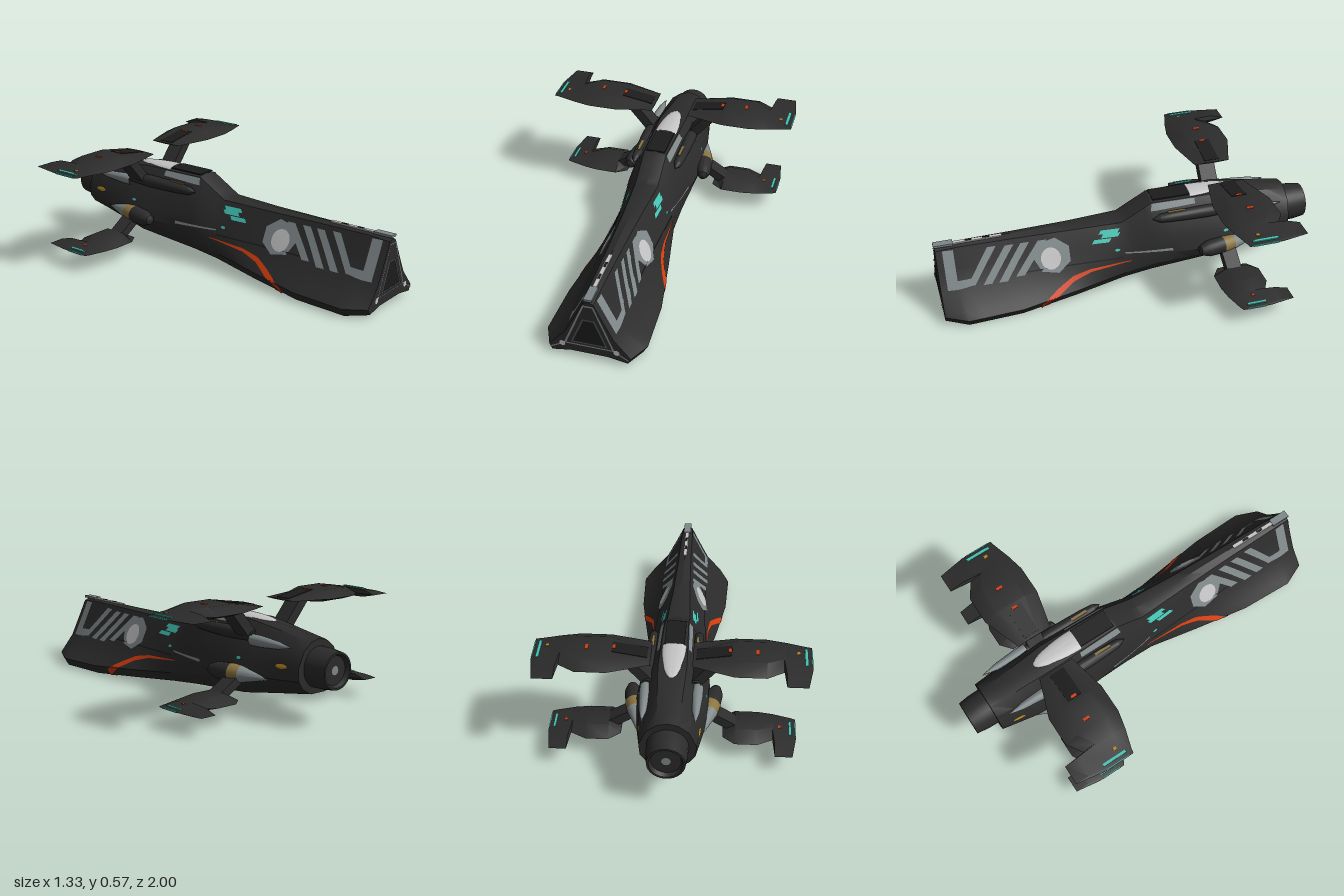
import * as THREE from 'three';
import { toCreasedNormals } from 'three/addons/utils/BufferGeometryUtils.js';

// Hull stations, front to back: z, spine height, spine half-width,
// then x,y of shoulder, flank, skirt, edge and chine, then keel height.
const STATIONS = [
  [.995, .355, .025, .07, .25, .12, .15, .175, .085, .2, .055, .185, .025, .042],
  [0.88, .365, .03, .075, .26, .13, .15, .22, .07, .25, .045, .225, .003, .042],
  [0.60, .365, .035, .08, .26, .135, .16, .21, .08, .24, .05, .21, .003, .038],
  [0.30, .365, .045, .09, .27, .13, .18, .17, .115, .195, .075, .17, .03, .044],
  [0.03, .37, .06, .105, .28, .135, .2, .15, .15, .15, .1, .12, .052, .05],
  [-.13, .462, .06, .11, .37, .145, .26, .16, .19, .155, .13, .11, .066, .062],
  [-.50, .463, .07, .125, .38, .17, .27, .195, .2, .17, .15, .11, .095, .09],
  [-.88, .41, .05, .1, .36, .135, .28, .13, .22, .1, .18, .06, .155, .15],
];

// Half-section at any z, from the spine round to the keel.
function halfAt(z) {
  let i = 0;
  while (i < STATIONS.length - 2 && z < STATIONS[i + 1][0]) i++;
  const a = STATIONS[i], b = STATIONS[i + 1];
  const t = THREE.MathUtils.clamp((a[0] - z) / (a[0] - b[0]), 0, 1);
  const [, top, spine, ...rest] = a.map((v, k) => v + (b[k] - v) * t);
  const keel = rest.pop(), pts = [[0, top], [spine, top - .011]];
  for (let k = 0; k < rest.length; k += 2) pts.push([rest[k], rest[k + 1]]);
  return [...pts, [pts[5][0] * .45, keel], [0, keel]];
}

// Outer x of the hull side at a given z and y.
function hullX(z, y) {
  const p = halfAt(z);
  for (let j = 1; j < 6; j++) {
    if (y <= p[j][1] && y >= p[j + 1][1]) {
      const t = (p[j][1] - y) / (p[j][1] - p[j + 1][1]);
      return p[j][0] + (p[j + 1][0] - p[j][0]) * t;
    }
  }
  return y > p[1][1] ? p[1][0] : p[6][0];
}

// Height of the underside between chine and keel.
function hullUnder(z, x) {
  const [[x0, y0], [x1, y1]] = halfAt(z).slice(6);
  return THREE.MathUtils.mapLinear(THREE.MathUtils.clamp(x, x1, x0), x0, x1, y0, y1);
}

// Capped skin over closed rings of [x, y, z] points.
function loft(rings) {
  const n = rings[0].length, pos = rings.flat(2), idx = [];
  for (let i = 0; i < rings.length - 1; i++) {
    for (let j = 0; j < n; j++) {
      const a = i * n + j, b = i * n + (j + 1) % n;
      idx.push(a, b, b + n, a, b + n, a + n);
    }
  }
  [0, rings.length - 1].forEach((r, end) => {
    const c = pos.length / 3;
    for (let k = 0; k < 3; k++) pos.push(rings[r].reduce((s, p) => s + p[k], 0) / n);
    for (let j = 0; j < n; j++) {
      const a = r * n + j, b = r * n + (j + 1) % n;
      idx.push(c, end ? a : b, end ? b : a);
    }
  });
  const g = new THREE.BufferGeometry();
  g.setAttribute('position', new THREE.Float32BufferAttribute(pos, 3));
  return g.setIndex(idx);
}

function mirrored(g) {
  const m = g.clone().scale(-1, 1, 1), ix = m.index.array;
  for (let i = 0; i < ix.length; i += 3) [ix[i], ix[i + 1]] = [ix[i + 1], ix[i]];
  return m;
}

// Markings moulded onto the hull: place(u, v) gives two coordinates, land(...) the point.
function wrap(g, place, land) {
  const p = g.attributes.position;
  for (let i = 0; i < p.count; i++) p.setXYZ(i, ...land(...place(p.getX(i), p.getY(i))));
  return g;
}
const onSide = (z, y) => [hullX(z, y) + .004, y, z];
const onUnder = (z, x) => [x, hullUnder(z, x) - .003, z];
const quad = (a, b, c, d, land = onSide) => wrap(new THREE.PlaneGeometry(1, 1, 8, 6), (u, v) => {
  u += .5; v += .5;
  return [0, 1].map(k => (a[k] * (1 - u) + b[k] * u) * (1 - v) + (d[k] * (1 - u) + c[k] * u) * v);
}, land);
const disc = (z, y, rz, ry, sides = 24) =>
  wrap(new THREE.RingGeometry(0, 1, sides, 5), (u, v) => [z + u * rz, y + v * ry], onSide);

// Turned part along z from [radius, z] pairs, back to front.
const turned = (pts, x, y, sides = 20) =>
  new THREE.LatheGeometry(pts.map(p => new THREE.Vector2(...p)), sides).rotateX(Math.PI / 2).translate(x, y, 0);
const lowerPod = pts => turned(pts, 0, 0).rotateY(.17).translate(.187, .205, -.5);

const box = (w, h, d, x, y, z) => new THREE.BoxGeometry(w, h, d).translate(x, y, z);

function strut(x0, y0, x1, y1, w, d, z) {
  const dx = x1 - x0, dy = y1 - y0;
  return new THREE.BoxGeometry(w, Math.hypot(dx, dy), d)
    .rotateZ(-Math.atan2(dx, dy)).translate((x0 + x1) / 2, (y0 + y1) / 2, z);
}

// Blade with bevelled edges; stations run from tip to root: x, front z, back z, rise, drop.
const wing = (stations, y) => loft(stations.map(([x, f, b, up, dn]) => [
  [x, y, f], [x, y + up, f - .07], [x, y + up, b + .07],
  [x, y, b], [x, y - dn, b + .07], [x, y - dn, f - .07]]));

export function createModel() {
  const model = new THREE.Group();
  const mat = (name, color, side = THREE.DoubleSide) => {
    const m = new THREE.MeshStandardMaterial({ color, side });
    m.name = name;
    return m;
  };
  const dark = mat('charcoal', 0x2b2b2b, THREE.FrontSide), black = mat('black', 0x1c1c1c), slate = mat('slate', 0x4c5052);
  const gray = mat('gray', 0x7f8789), silver = mat('silver', 0xc4c4c4), red = mat('red', 0xd23c0c);
  const teal = mat('teal', 0x42c4b4), amber = mat('amber', 0xb5851c), bronze = mat('bronze', 0x8a7440);

  const add = (name, g, m) => {
    const mesh = new THREE.Mesh(toCreasedNormals(g, 0.5), m);
    mesh.name = name;
    model.add(mesh);
  };
  const pair = (name, g, m) => {
    add(name + 'Left', g, m);
    add(name + 'Right', mirrored(g), m);
  };

  // Hull, with each bay between stations cut in four
  const cuts = STATIONS.slice(1).flatMap(([z1], i) => [0, 1, 2, 3].map(s => THREE.MathUtils.lerp(STATIONS[i][0], z1, s / 4)));
  add('hull', loft([...cuts, -.88].map(z => {
    const half = halfAt(z);
    const other = half.slice(1, -1).reverse().map(([x, y]) => [-x, y]);
    return [...half, ...other].map(([x, y]) => [x, y, z]);
  })), dark);

  // Engine nozzle
  add('nozzle', turned([[0, -.98], [.07, -.98], [.08, -1], [.09, -1], [.098, -.94], [.1, -.86]], 0, .275, 28), dark);
  add('nozzleCore', new THREE.CircleGeometry(.022, 12).rotateY(Math.PI).translate(0, .275, -.983), gray);

  // Nose face: triangular frame, inner panel, skirt trim and lamps
  const trapezoid = (tx, ty, bx, by, Type = THREE.Shape) => new Type([[-tx, ty], [-bx, by], [bx, by], [tx, ty]]
    .map(p => new THREE.Vector2(...p)));
  const frame = (outer, inner) => {
    const s = trapezoid(...outer);
    s.holes.push(trapezoid(...inner, THREE.Path));
    return new THREE.ShapeGeometry(s).translate(0, 0, .999);
  };
  add('noseFrame', frame([.026, .335, .125, .085], [.021, .326, .112, .092]), gray);
  add('noseInnerFrame', frame([.03, .25, .09, .1], [.024, .242, .079, .107]), slate);
  add('nosePanel', new THREE.ShapeGeometry(trapezoid(.024, .242, .079, .107)).translate(0, 0, .998), black);
  pair('noseSkirtTrim', new THREE.PlaneGeometry(.07, .007).rotateZ(-.52).translate(.162, .062, .999), gray);
  pair('noseLamp', new THREE.CircleGeometry(.017, 16).translate(.133, .08, 1), silver);
  add('noseLip', box(.04, .012, .1, 0, .367, .95), gray);

  // Spine strip with slits
  add('spineStrip', box(.02, .008, .3, 0, .3645, .8), silver);
  for (const z of [.73, .82]) add('spineSlit', box(.012, .004, .035, 0, .3685, z), black);

  // Canopy
  add('canopy', new THREE.SphereGeometry(1, 24, 16, Math.PI, Math.PI).scale(.06, .02, .25).translate(0, .45, -.34), silver);
  add('canopyWindow', box(.1, .006, .2, 0, .461, -.24), black);
  pair('canopyFrame', quad([-.12, .415], [-.36, .425], [-.36, .449], [-.13, .449]), gray);
  pair('canopySill', quad([-.12, .375], [-.4, .375], [-.38, .395], [-.15, .395]), black);

  // Side markings: bracket, slanted bars, round emblem
  pair('bracketPost', quad([.96, .16], [.905, .16], [.905, .345], [.96, .345]), gray);
  pair('bracketFoot', quad([.905, .16], [.83, .17], [.80, .205], [.905, .2]), gray);
  pair('bracketArm', quad([.86, .17], [.82, .17], [.69, .335], [.735, .335]), gray);
  for (const [z, y] of [[.78, .165], [.7, .165], [.61, .18]]) {
    pair('slantedBar', quad([z, y], [z - .045, y], [z - .18, .33], [z - .135, .33]), gray);
  }
  pair('roundelBacking', disc(.41, .25, .1, .085, 7), gray);
  pair('roundel', disc(.42, .24, .052, .052).translate(.002, 0, 0), silver);
  for (const [z, y, l] of [[.16, .328, .1], [.15, .31, .09], [.2, .288, .09]]) {
    pair('tealDash', quad([z, y - .009], [z - l, y - .009], [z - l - .015, y + .009], [z - .015, y + .009]), teal);
  }
  for (const [z, y] of [[.07, .235], [-.51, .28]]) pair('tealDot', disc(z, y, .014, .007, 8), teal);
  pair('sideLine', quad([.03, .213], [-.22, .206], [-.22, .22], [.03, .219]), gray);
  pair('sideGroove', quad([.58, .19], [.04, .19], [.04, .197], [.58, .197]), black);
  pair('amberPort', disc(-.78, .28, .034, .011), amber);

  // Sweeping red stripe, tapering aft, and its return under the hull
  const sweep = [[.5, .025, .02], [.45, .06, .018], [.4, .09, .015], [.32, .13, .012], [.22, .155, .007], [0, .172, .002]];
  for (let i = 0; i < sweep.length - 1; i++) {
    const [z0, y0, w0] = sweep[i], [z1, y1, w1] = sweep[i + 1];
    pair('redStripe', quad([z0, y0 - w0], [z1, y1 - w1], [z1, y1 + w1], [z0, y0 + w0]), red);
  }
  pair('redUnderStripe', quad([.45, .19], [.57, .1], [.58, .11], [.5, .198], onUnder), red);

  // Upper and lower side pods
  pair('lowerPodTail', lowerPod([[0, -.22], [.018, -.15], [.036, -.07], [.042, -.045]]), gray);
  pair('lowerPodBand', lowerPod([[.042, -.045], [.046, 0], [.046, .015]]), bronze);
  pair('lowerPodNose', lowerPod([[.046, .015], [.042, .1], [.025, .145], [0, .155]]), dark);
  pair('upperPodTail', turned([[0, -.83], [.018, -.74], [.028, -.62], [.028, -.56]], .125, .37), gray);
  pair('upperPod', turned([[.026, -.57], [.033, -.42], [.03, -.3], [.027, -.22], [.022, -.16], [0, -.12]], .115, .385), dark);
  pair('upperPodStrip', box(.014, .006, .09, .112, .413, -.25), bronze);

  // Wings on slanted struts
  pair('upperStrut', strut(.09, .36, .235, .53, .05, .09, -.51), dark);
  pair('lowerStrut', strut(.15, .21, .32, .105, .045, .08, -.51), dark);
  pair('upperWing', wing([
    [.665, -.43, -.6, .002, .002], [.64, -.425, -.74, .006, .005], [.54, -.395, -.74, .022, .016], [.53, -.393, -.63, .024, .017],
    [.45, -.375, -.68, .036, .022], [.3, -.375, -.68, .036, .022], [.1, -.42, -.61, .003, .003]], .535), dark);
  pair('lowerWing', wing([
    [.61, -.45, -.6, .002, .002], [.59, -.44, -.73, .006, .005], [.505, -.415, -.73, .02, .014], [.495, -.412, -.61, .022, .015],
    [.42, -.4, -.65, .036, .022], [.31, -.4, -.65, .036, .022], [.25, -.44, -.6, .003, .003]], .1), dark);

  // Wing lights and slots
  pair('wingSlot', box(.17, .004, .08, 0, 0, 0).rotateZ(.165).translate(.2, .555, -.52), black);
  pair('upperTipLight', box(.014, .005, .13, .637, .543, -.52), teal);
  pair('upperTipEdge', box(.004, .007, .13, .664, .535, -.515), teal);
  pair('lowerTipLight', box(.012, .005, .1, .583, .109, -.53), teal);
  pair('lowerTipEdge', box(.004, .006, .1, .609, .1, -.525), teal);
  pair('upperRedLight', box(.014, .004, .035, .405, .572, -.53), red);
  pair('slotRedLight', box(.014, .004, .03, .275, .57, -.52), red);
  pair('upperAmberLight', box(.016, .004, .018, .6, .548, -.495), amber);
  pair('lowerRedLight', box(.012, .004, .016, .53, .117, -.53), red);
  return model;
}
